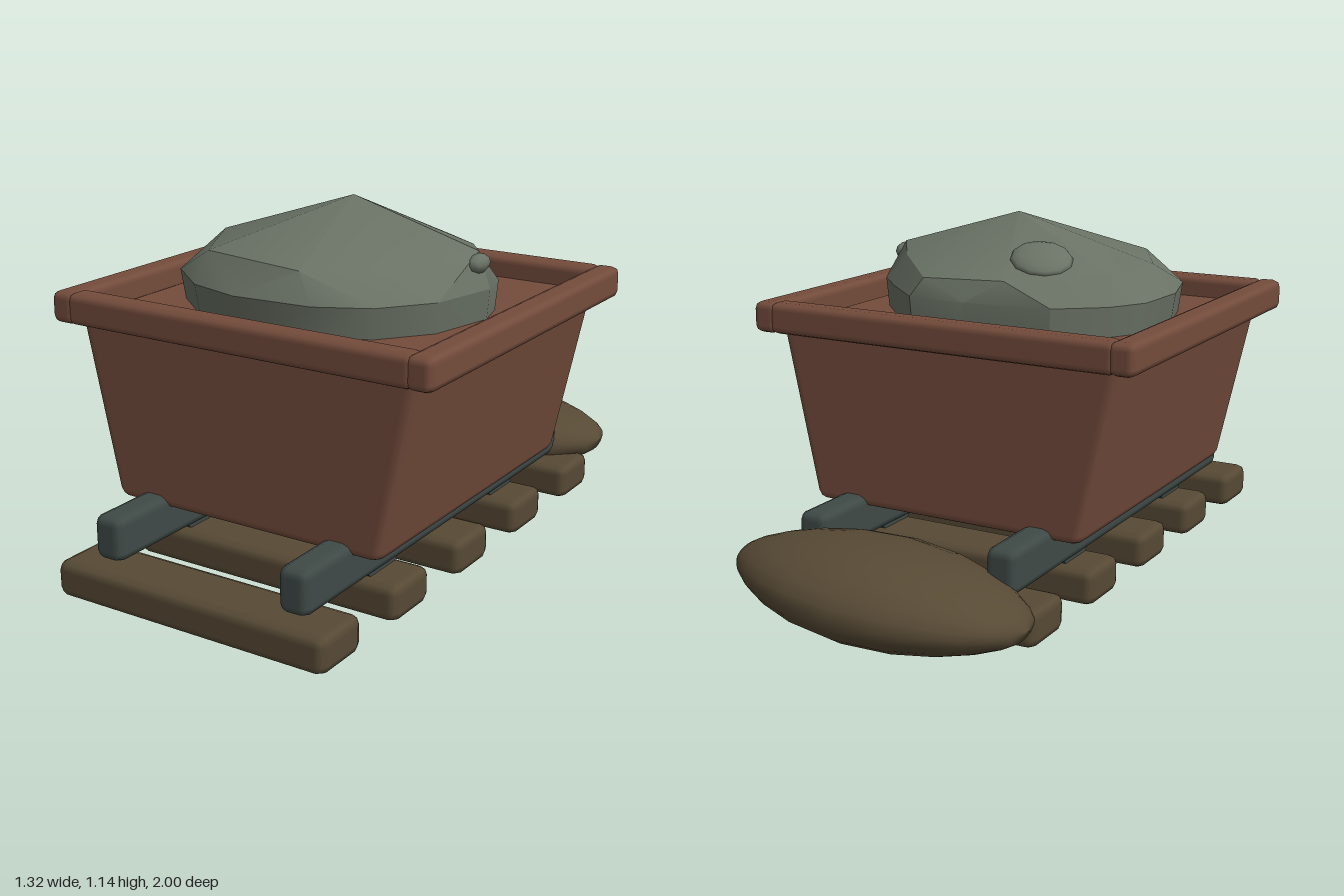
import * as THREE from 'three';
import { toCreasedNormals } from 'three/addons/utils/BufferGeometryUtils.js';
import { RoundedBoxGeometry } from 'three/addons/geometries/RoundedBoxGeometry.js';
import { ConvexGeometry } from 'three/addons/geometries/ConvexGeometry.js';

const material = (name, color) => {
  const m = new THREE.MeshStandardMaterial({ color });
  m.name = name;
  return m;
};

export function createModel() {
  const group = new THREE.Group();
  const rust = material('rusty brown', 0x744c3c);
  const stone = material('grey green stone', 0x6a7265);
  const wood = material('dark wood', 0x574a35);
  const iron = material('dark iron', 0x3f4a47);

  const add = (name, geometry, mat, x = 0, y = 0, z = 0) => {
    const mesh = new THREE.Mesh(geometry, mat);
    mesh.name = name;
    mesh.position.set(x, y, z);
    group.add(mesh);
    return mesh;
  };
  // Box with chamfered edges
  const block = (w, h, d, bevel) => new RoundedBoxGeometry(w, h, d, 1, bevel);

  // Sleepers
  for (let i = 0; i < 5; i++) {
    add('sleeper', block(0.95, 0.115, 0.2, 0.03), wood, 0, 0.083, 0.9 - i * 0.3675);
  }

  // Rails, with the wheels that rest on them
  for (const side of [-1, 1]) {
    add('rail', block(0.1, 0.14, 1.545, 0.028), iron, side * 0.33, 0.215, 0.1625);
    for (const z of [0.53, -0.2]) {
      const wheel = new THREE.CylinderGeometry(0.135, 0.135, 0.08, 8);
      wheel.rotateZ(Math.PI / 2).rotateX(Math.PI / 8);
      add('wheel', wheel, iron, side * 0.33, 0.25, z);
    }
  }

  // Cart body, tapering towards the bottom
  const height = 0.57, slope = 0.42;
  const body = block(0.94, height, 1.1, 0.03);
  const pos = body.attributes.position, nor = body.attributes.normal;
  const n = new THREE.Vector3();
  for (let i = 0; i < pos.count; i++) {
    const x = pos.getX(i);
    const s = 1 + slope * (pos.getY(i) + height / 2) * 1.12;
    n.fromBufferAttribute(nor, i);
    n.set(n.x / s, n.y - n.x * x * slope / s, n.z).normalize();
    pos.setX(i, x * s);
    nor.setXYZ(i, n.x, n.y, n.z);
  }
  add('cartBody', body, rust, 0, 0.245 + height / 2, 0.165);

  // Rim
  for (const side of [-1, 1]) {
    add('sideRim', block(0.085, 0.1, 1.205, 0.024), rust, side * 0.6175, 0.835, 0.1625);
    add('endRim', block(1.2, 0.1, 0.085, 0.024), rust, 0, 0.835, 0.1625 + side * 0.56);
  }

  // Boulder: an irregular outline, a shoulder of facets and a peak
  const outline = [
    [0, -0.25], [0.2, -0.24], [0.35, -0.1], [0.46, 0.02], [0.49, 0.13], [0.44, 0.35],
    [0.32, 0.5], [0.16, 0.58], [-0.1, 0.6], [-0.28, 0.55], [-0.44, 0.42], [-0.5, 0.22],
    [-0.49, 0.02], [-0.42, -0.1], [-0.28, -0.21],
  ];
  const shoulder = [
    [0.45, 1.02, 0.13], [0.33, 0.99, 0.37], [0.1, 1.0, 0.55], [-0.28, 1.0, 0.48],
    [-0.43, 1.0, 0.2], [-0.4, 0.99, -0.04], [-0.12, 0.98, -0.21], [0.16, 0.97, -0.22],
    [0.35, 1.0, -0.02],
  ];
  const points = [new THREE.Vector3(0.02, 1.145, 0.14)];
  for (const [x, z] of outline) {
    points.push(new THREE.Vector3(x, 0.91, z), new THREE.Vector3(x * 0.97, 0.79, z * 0.97));
  }
  for (const p of shoulder) points.push(new THREE.Vector3(...p));
  add('boulder', toCreasedNormals(new ConvexGeometry(points), 0.45), stone);

  // Small knobs breaking the boulder surface
  const knob = add('boulderKnob', new THREE.SphereGeometry(0.1, 12, 8), stone, -0.17, 1.03, -0.06);
  knob.scale.set(1, 0.3, 0.9);
  knob.rotation.set(-0.4, 0, 0.2);
  const tip = add('boulderTip', new THREE.SphereGeometry(0.05, 8, 6), stone, 0.455, 0.985, 0.14);
  tip.scale.set(0.6, 0.6, 1);

  // Spindle-shaped mound behind the track
  const profile = [
    [0, -0.49], [0.27, -0.47], [0.4, -0.44], [0.6, -0.37], [0.78, -0.28], [0.93, -0.16], [1, 0],
    [0.93, 0.16], [0.78, 0.28], [0.6, 0.37], [0.4, 0.44], [0.27, 0.47], [0, 0.49],
  ].map(([r, y]) => new THREE.Vector2(r, y));
  const spindle = new THREE.LatheGeometry(profile, 24);
  spindle.rotateZ(-Math.PI / 2).scale(1, 0.137, 0.275).rotateZ(0.06);
  add('mound', spindle, wood, 0, 0.143, -0.725);

  return group;
}
